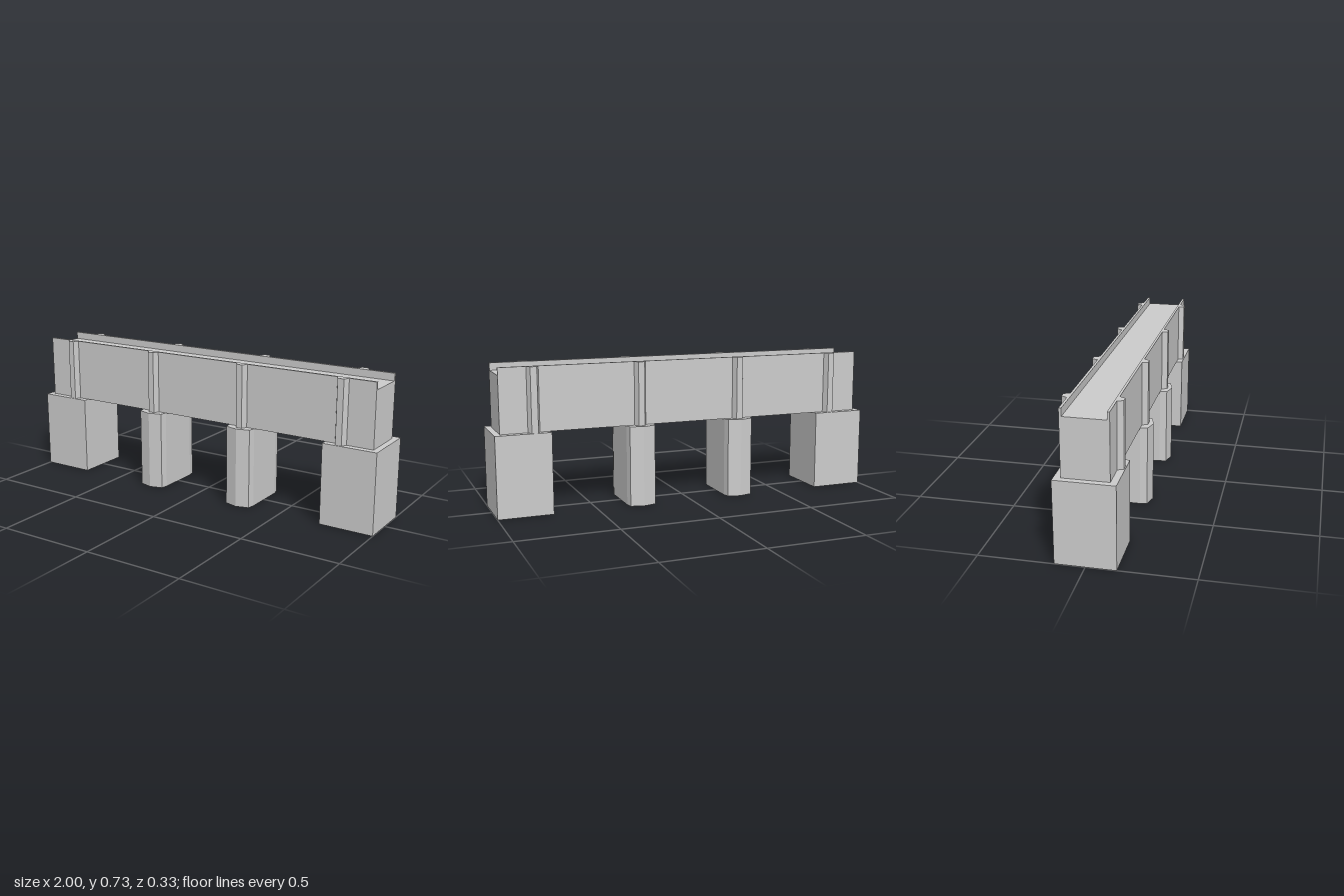
import * as THREE from 'three';
import { toCreasedNormals } from 'three/addons/utils/BufferGeometryUtils.js';

const SPRING = 0.407, DECK = 0.69, TOP = 0.727;
const END = 0.97, WALL_IN = 0.098, WALL_OUT = 0.11;

export function createModel() {
  const model = new THREE.Group();
  model.name = 'bridge';
  const material = new THREE.MeshStandardMaterial({ color: 0xcccccc });

  const add = (name, geometry, x = 0, y = 0, z = 0) => {
    const mesh = new THREE.Mesh(geometry, material);
    mesh.name = name;
    mesh.position.set(x, y, z);
    model.add(mesh);
    return mesh;
  };

  // Upright prism from a plan outline given as [x, z] corners
  const prism = (plan, y0, y1) => {
    const shape = new THREE.Shape(plan.map(([x, z]) => new THREE.Vector2(x, -z)));
    const g = new THREE.ExtrudeGeometry(shape, { depth: y1 - y0, bevelEnabled: false });
    return g.rotateX(-Math.PI / 2).translate(0, y0, 0);
  };

  // Roadway core with three semicircular vaults
  const section = new THREE.Shape();
  section.moveTo(-END, SPRING);
  for (const [a, b] of [[-0.725, -0.345], [-0.197, 0.19], [0.338, 0.722]]) {
    section.lineTo(a, SPRING);
    section.absarc((a + b) / 2, SPRING, (b - a) / 2, Math.PI, 0, true);
  }
  section.lineTo(END, SPRING);
  section.lineTo(END, DECK);
  section.lineTo(-END, DECK);
  const core = new THREE.ExtrudeGeometry(section, {
    depth: 2 * WALL_IN, bevelEnabled: false, curveSegments: 24,
  });
  add('vaultedDeck', toCreasedNormals(core.translate(0, 0, -WALL_IN), 0.6));

  // Side walls rising into parapets
  const thickness = WALL_OUT - WALL_IN;
  for (const s of [1, -1]) {
    add(s > 0 ? 'frontWall' : 'backWall',
      new THREE.BoxGeometry(2 * END, TOP - SPRING, thickness),
      0, (TOP + SPRING) / 2, s * (WALL_IN + thickness / 2));
  }

  // End abutments
  for (const s of [1, -1]) {
    add(s > 0 ? 'leftAbutment' : 'rightAbutment',
      new THREE.BoxGeometry(0.276, SPRING, 0.285), s * 0.862, SPRING / 2, 0);
  }

  // Piers with pointed cutwaters
  const pierPlan = [
    [-0.073, 0.11], [-0.066, 0.145], [0, 0.163], [0.066, 0.145], [0.073, 0.11],
    [0.073, -0.11], [0.066, -0.145], [0, -0.163], [-0.066, -0.145], [-0.073, -0.11],
  ];
  for (const x of [-0.271, 0.265]) add('pier', prism(pierPlan, 0, SPRING), x);

  // Half-hexagon pilasters on both walls
  const pilaster = prism(
    [[-0.03, 0.109], [-0.016, 0.138], [0.016, 0.138], [0.03, 0.109]], SPRING, TOP);
  for (const x of [-0.81, -0.271, 0.265, 0.805]) {
    add('frontPilaster', pilaster, x);
    add('backPilaster', pilaster, x).rotation.y = Math.PI;
  }

  return model;
}
